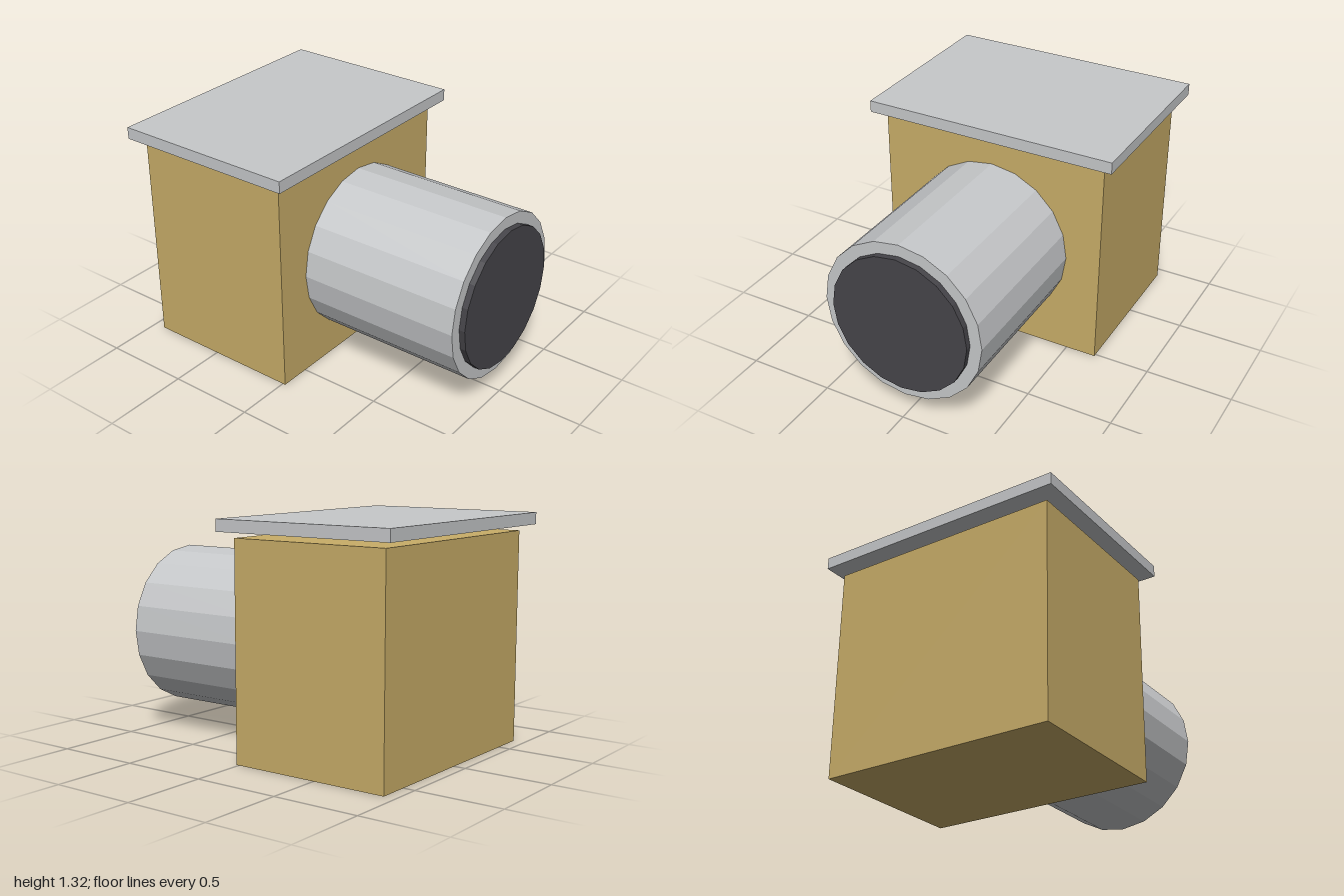
import * as THREE from 'three';

// One design unit; the model is 29.5 units deep
const U = 2 / 29.5;

export function createModel() {
  const model = new THREE.Group();
  const ochre = new THREE.MeshStandardMaterial({ name: 'ochre', color: 0xc8ad68, flatShading: true });
  const lightGrey = new THREE.MeshStandardMaterial({ name: 'lightGrey', color: 0xc6c8ca, flatShading: true });
  const charcoal = new THREE.MeshStandardMaterial({ name: 'charcoal', color: 0x46454a, flatShading: true });

  const add = (name, geometry, material, y, z) => {
    const mesh = new THREE.Mesh(geometry, material);
    mesh.name = name;
    mesh.position.set(0, y * U, -1 + z * U);
    model.add(mesh);
  };
  const box = (w, h, d) => new THREE.BoxGeometry(w * U, h * U, d * U);
  // Twenty-sided cylinder lying along z
  const drum = (r, length) =>
    new THREE.CylinderGeometry(r * U, r * U, length * U, 20).rotateX(Math.PI / 2);

  // Housing block, standing on the ground
  add('housing', box(20, 18, 14), ochre, 9, 8);
  // Overhanging cover slab, floating half a unit above the housing
  add('cover', box(22, 1, 16), lightGrey, 19, 8);
  // Horizontal duct on the front
  add('duct', drum(7, 14), lightGrey, 9, 22);
  // Dark disc closing the mouth of the duct
  add('ductMouth', drum(6, 1), charcoal, 9, 29);

  return model;
}
